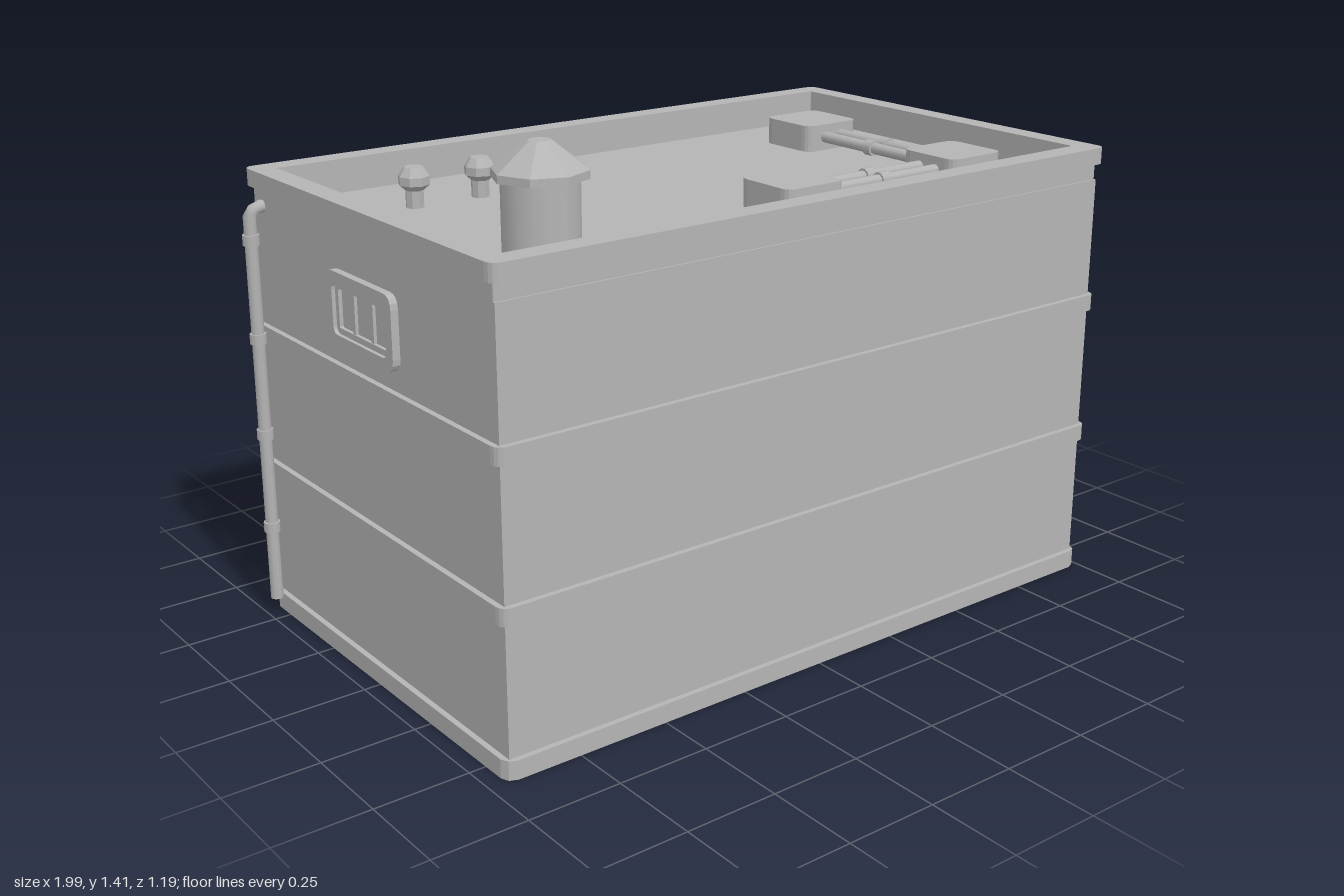
import * as THREE from 'three';

const CX = 0.02;          // centre of the building along x
const BACK = -0.575;      // plane of the rear wall
const ROOF = 1.14;        // height of the roof floor

export function createModel() {
  const model = new THREE.Group();
  model.name = 'building';
  const grey = new THREE.MeshStandardMaterial({ color: 0xb4b4b4 });
  grey.name = 'concrete grey';

  const add = (parent, name, geometry, x = 0, y = 0, z = 0) => {
    const mesh = new THREE.Mesh(geometry, grey);
    mesh.name = name;
    mesh.position.set(x, y, z);
    parent.add(mesh);
    return mesh;
  };
  const group = (parent, name, x, y, z, turn = 0) => {
    const g = new THREE.Group();
    g.name = name;
    g.position.set(x, y, z);
    g.rotation.y = turn;
    parent.add(g);
    return g;
  };
  const box = (w, h, d) => new THREE.BoxGeometry(w, h, d);

  // Rounded rectangle centred on the origin
  const outline = (path, w, h, r) => {
    const a = w / 2, b = h / 2;
    path.moveTo(-a + r, -b).lineTo(a - r, -b).quadraticCurveTo(a, -b, a, -b + r);
    path.lineTo(a, b - r).quadraticCurveTo(a, b, a - r, b);
    path.lineTo(-a + r, b).quadraticCurveTo(-a, b, -a, b - r);
    path.lineTo(-a, -b + r).quadraticCurveTo(-a, -b, -a + r, -b);
    return path;
  };
  const extrude = (shape, depth) =>
    new THREE.ExtrudeGeometry(shape, { depth, bevelEnabled: false, curveSegments: 4 });
  const ring = (w, h, r, iw, ih, ir, depth) => {
    const shape = outline(new THREE.Shape(), w, h, r);
    shape.holes.push(outline(new THREE.Path(), iw, ih, ir));
    return extrude(shape, depth);
  };
  const flat = (geometry) => geometry.rotateX(-Math.PI / 2);
  const slab = (w, d, r, h) => flat(extrude(outline(new THREE.Shape(), w, d, r), h));

  // Walls, roof floor and parapet
  add(model, 'walls', box(1.92, ROOF, 1.155), CX, ROOF / 2, 0.0025);
  add(model, 'parapetWall', flat(ring(1.92, 1.15, 0.005, 1.825, 1.06, 0.003, 0.089)), CX, ROOF, 0);
  add(model, 'parapetBand', flat(ring(1.95, 1.19, 0.03, 1.825, 1.06, 0.003, 0.045)), CX, 1.185, 0);

  // Storey bands
  for (const y of [0.39, 0.773]) add(model, 'storeyBand', slab(1.95, 1.19, 0.03, 0.045), CX, y, 0);

  // Base band, interrupted at the rear by the doorways (shape y is -z)
  const openings = [[0.865, 0.345], [0.085, -0.443], [-0.657, -0.863]];
  const base = new THREE.Shape();
  base.moveTo(-0.925, -0.595).lineTo(0.965, -0.595).lineTo(0.986, -0.586).lineTo(0.995, -0.565);
  base.lineTo(0.995, 0.565).lineTo(0.986, 0.586).lineTo(0.965, 0.595);
  for (const [a, b] of openings) {
    base.lineTo(a, 0.595).lineTo(a, 0.572).lineTo(b, 0.572).lineTo(b, 0.595);
  }
  base.lineTo(-0.925, 0.595).lineTo(-0.946, 0.586).lineTo(-0.955, 0.565);
  base.lineTo(-0.955, -0.565).lineTo(-0.946, -0.586);
  add(model, 'baseBand', flat(extrude(base, 0.05)));

  // Windows: raised surround, inner sash and mullions
  const addWindow = (name, w, mullions, x, y, z, turn) => {
    const g = group(model, name, x, y, z, turn);
    const h = 0.19;
    add(g, 'surround', ring(w, h, 0.035, w - 0.06, h - 0.06, 0.02, 0.02));
    add(g, 'sash', ring(w - 0.06, h - 0.06, 0.02, w - 0.09, h - 0.09, 0.005, 0.01));
    for (const m of mullions) add(g, 'mullion', box(0.012, h - 0.088, 0.008), m, 0, 0.004);
  };
  for (const y of [0.575, 0.965]) {
    for (const s of [-1, 1]) {
      addWindow('wideWindow', 0.49, [-0.125, 0, 0.125], CX + s * 0.29, y, BACK, Math.PI);
      addWindow('smallWindow', 0.294, [-0.045, 0.045], CX + s * 0.772, y, BACK, Math.PI);
    }
  }
  addWindow('sideWindow', 0.32, [-0.045, 0.045], -0.94, 0.965, 0, -Math.PI / 2);

  // Door surround, open at the bottom
  const arch = (w, h, t, depth) => {
    const a = w / 2, r = 0.025, i = a - t, k = h - t, q = 0.015;
    const points = [[-a, 0], [-i, 0], [-i, k - q], [-i + q, k], [i - q, k], [i, k - q], [i, 0],
      [a, 0], [a, h - r], [a - 0.3 * r, h - 0.3 * r], [a - r, h],
      [-a + r, h], [-a + 0.3 * r, h - 0.3 * r], [-a, h - r]];
    return extrude(new THREE.Shape(points.map(([x, y]) => new THREE.Vector2(x, y))), depth);
  };

  // Garage doors
  for (const [a, b] of openings.slice(0, 2)) {
    const g = group(model, 'garageDoor', (a + b) / 2, 0, BACK, Math.PI);
    add(g, 'surround', arch(a - b, 0.285, 0.03, 0.02));
    add(g, 'innerFrame', arch(a - b - 0.06, 0.255, 0.015, 0.01));
    add(g, 'handle', box(0.05, 0.014, 0.012), 0, 0.045, 0.006);
  }

  // Entrance door with an upper and a lower panel
  const door = group(model, 'entranceDoor', -0.76, 0, BACK, Math.PI);
  add(door, 'surround', arch(0.206, 0.285, 0.03, 0.02));
  add(door, 'innerFrame', arch(0.146, 0.255, 0.012, 0.01));
  add(door, 'upperPanel', ring(0.095, 0.09, 0.004, 0.07, 0.065, 0.004, 0.009), 0, 0.185, 0);
  add(door, 'lowerPanel', ring(0.095, 0.1, 0.004, 0.07, 0.075, 0.004, 0.009), 0, 0.065, 0);
  add(door, 'knob', new THREE.SphereGeometry(0.01, 8, 6), -0.045, 0.135, 0.013);

  // Drainpipe with an elbow into the wall
  const px = -0.978, pz = -0.527;
  const elbow = new THREE.CurvePath();
  const stops = [[px, 0.05], [px, 1.12], [px + 0.018, 1.138], [-0.93, 1.138]]
    .map(([x, y]) => new THREE.Vector3(x, y, pz));
  for (let i = 0; i < 3; i++) elbow.add(new THREE.LineCurve3(stops[i], stops[i + 1]));
  add(model, 'drainpipe', new THREE.TubeGeometry(elbow, 60, 0.017, 10));
  const cap = add(model, 'drainpipeEnd', new THREE.CircleGeometry(0.017, 10), px, 0.05, pz);
  cap.rotation.x = Math.PI / 2;
  for (const y of [0.26, 0.525, 0.79, 1.055]) {
    add(model, 'drainpipeCollar', new THREE.CylinderGeometry(0.022, 0.022, 0.028, 10), px, y, pz);
  }

  // Water tank with an eight-sided cap
  const tank = group(model, 'waterTank', -0.65, ROOF, 0.325);
  add(tank, 'tankBody', new THREE.CylinderGeometry(0.094, 0.094, 0.19, 16), 0, 0.095, 0);
  const facets = (points) => {
    const g = new THREE.LatheGeometry(points.map(([r, y]) => new THREE.Vector2(r, y)), 8).toNonIndexed();
    g.computeVertexNormals();
    return g;
  };
  add(tank, 'tankCap', facets([[0, 0.185], [0.116, 0.185], [0.116, 0.205], [0.028, 0.272], [0, 0.272]]));

  // Roof vents
  for (const x of [-0.64, -0.445]) {
    add(model, 'roofVent', facets([[0.024, 0], [0.024, 0.045], [0.041, 0.06], [0.041, 0.082],
      [0.025, 0.105], [0, 0.105]]), x, ROOF, -0.272);
  }

  // Roof units joined by pairs of pipes
  for (const [x, z] of [[0.115, 0.32], [0.69, 0.32], [0.69, -0.255]]) {
    add(model, 'roofUnit', slab(0.19, 0.19, 0.03, 0.075), x, ROOF, z);
  }
  const addPipes = (x, z, turn) => {
    const g = group(model, 'roofPipes', x, ROOF + 0.038, z, turn);
    for (const s of [-0.029, 0.029]) {
      add(g, 'pipe', new THREE.CylinderGeometry(0.016, 0.016, 0.42, 10).rotateZ(Math.PI / 2), 0, 0, s);
      add(g, 'pipeCollar', new THREE.CylinderGeometry(0.022, 0.022, 0.03, 10).rotateZ(Math.PI / 2), 0, 0, s);
    }
  };
  addPipes(0.4025, 0.32, 0);
  addPipes(0.69, 0.0325, Math.PI / 2);

  return model;
}
